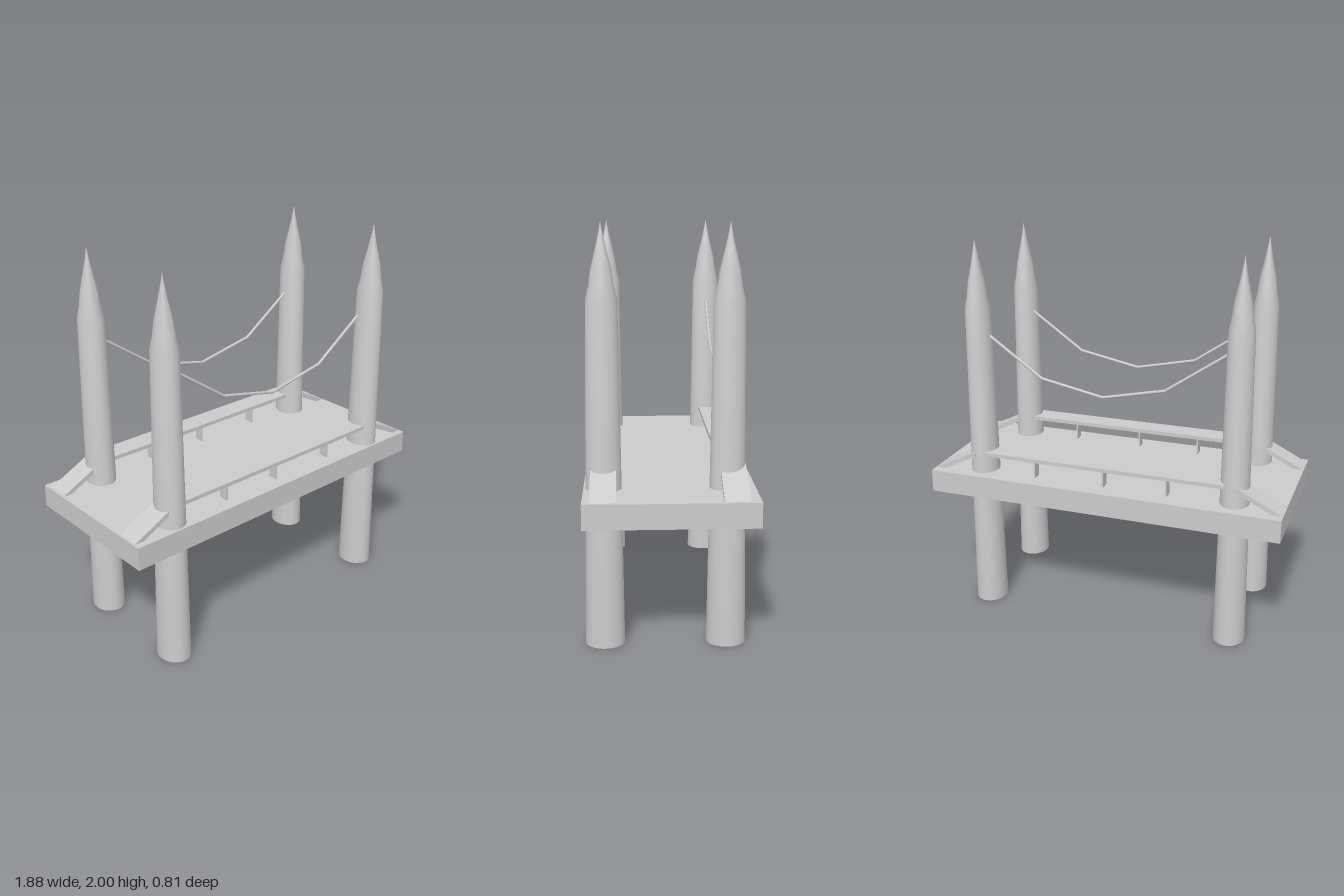
import * as THREE from 'three';
import { toCreasedNormals } from 'three/addons/utils/BufferGeometryUtils.js';

const material = new THREE.MeshStandardMaterial({ color: 0xcccccc });

function add(parent, name, geometry, x = 0, y = 0, z = 0) {
  const mesh = new THREE.Mesh(geometry, material);
  mesh.name = name;
  mesh.position.set(x, y, z);
  parent.add(mesh);
  return mesh;
}

// Tapered shaft with a stepped shoulder and a pointed spire, slightly oval in plan
function towerGeometry() {
  const profile = [
    [0, 0], [0.095, 0], [0.073, 1.65], [0.058, 1.71], [0.048, 1.785],
    [0.022, 1.89], [0.006, 1.965], [0, 2],
  ].map(([r, y]) => new THREE.Vector2(r, y));
  const geometry = new THREE.LatheGeometry(profile, 28);
  geometry.scale(0.87, 1, 1);
  return toCreasedNormals(geometry, 0.6);
}

// Sloping slab from the deck end up to the tower, drawn in the x-y plane
function rampGeometry(width) {
  const shape = new THREE.Shape([
    [0.7, 0.862], [0.7, 0.888], [0.74, 0.868], [0.935, 0.772], [0.935, 0.765], [0.895, 0.765],
  ].map(([x, y]) => new THREE.Vector2(x, y)));
  const geometry = new THREE.ExtrudeGeometry(shape, { depth: width, bevelEnabled: false });
  return geometry.translate(0, 0, -width / 2);
}

// Thin round rod between two points
function addRod(parent, name, a, b, radius) {
  const span = b.clone().sub(a);
  const rod = add(parent, name, new THREE.CylinderGeometry(radius, radius, span.length() + radius * 0.5, 8));
  rod.position.copy(a).addScaledVector(span, 0.5);
  rod.quaternion.setFromUnitVectors(new THREE.Vector3(0, 1, 0), span.normalize());
}

export function createModel() {
  const bridge = new THREE.Group();
  bridge.name = 'suspensionBridge';

  add(bridge, 'deck', new THREE.BoxGeometry(1.885, 0.12, 0.81), 0, 0.71, 0);

  const tower = towerGeometry();
  const ramp = rampGeometry(0.12);
  const cablePoints = [[-0.66, 1.55], [-0.315, 1.312], [0.01, 1.242], [0.34, 1.308], [0.66, 1.533]];

  // Both sides of the bridge: towers, ramps, railing and cable
  const sides = [
    { name: 'frontSide', towerZ: 0.31, railZ: 0.31, cableZ: 0.282 },
    { name: 'backSide', towerZ: -0.272, railZ: -0.295, cableZ: -0.273 },
  ];
  for (const { name, towerZ, railZ, cableZ } of sides) {
    const side = new THREE.Group();
    side.name = name;
    bridge.add(side);

    for (const s of [-1, 1]) {
      add(side, 'tower', tower, s * 0.684, 0, towerZ);
      const slab = add(side, 'endRamp', ramp, 0, 0, railZ);
      if (s < 0) slab.rotation.y = Math.PI;
    }

    // Flat railing plank on three thin posts
    add(side, 'railing', new THREE.BoxGeometry(1.3, 0.02, 0.12), 0, 0.88, railZ);
    for (const x of [-0.342, -0.002, 0.378]) {
      add(side, 'railingPost', new THREE.BoxGeometry(0.008, 0.11, 0.05), x, 0.82, railZ);
    }

    // Sagging cable of straight links
    const points = cablePoints.map(([x, y]) => new THREE.Vector3(x, y, cableZ));
    for (let i = 0; i < points.length - 1; i++) {
      addRod(side, 'cableLink', points[i], points[i + 1], 0.008);
    }
  }
  return bridge;
}
